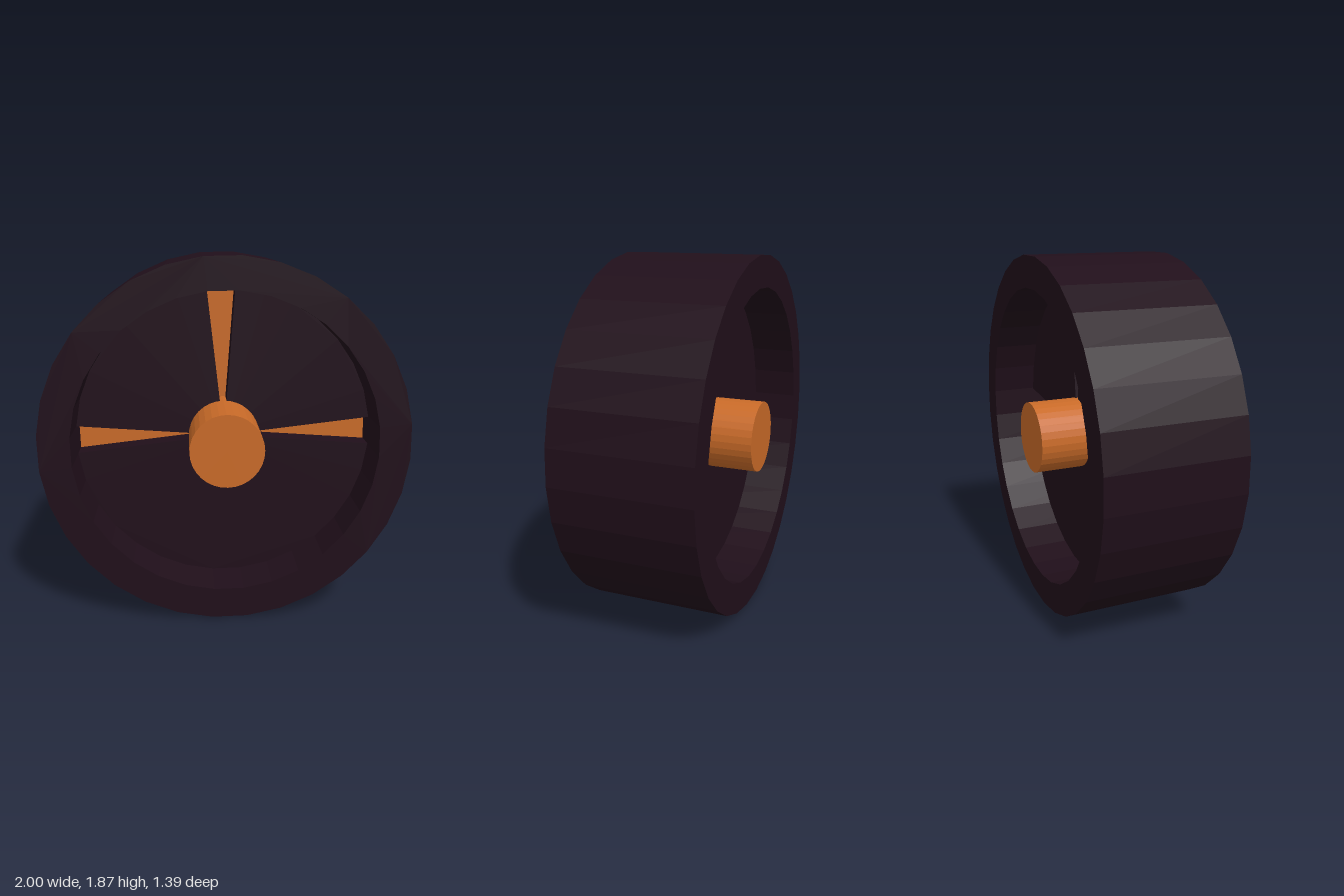
import * as THREE from 'three';

const SIDES = 32;
const RIM_R = 0.936, RIM_W = 0.715, INNER_R = 0.774;
const WEB_T = 0.23, HUB_R = 0.186;
const SLOT_HALF = THREE.MathUtils.degToRad(5.4);

// Points on an arc, one per polygon side
function arcPoints(radius, from, to, steps) {
  const points = [];
  for (let i = 0; i <= steps; i++) {
    const a = from + (to - from) * i / steps;
    points.push(new THREE.Vector2(Math.cos(a) * radius, Math.sin(a) * radius));
  }
  return points;
}

// Regular polygon with a flat side at the top
function polygon(radius) {
  const start = Math.PI / SIDES;
  return arcPoints(radius, start, start + Math.PI * 2, SIDES).slice(0, SIDES);
}

// Extrusion centred on z = mid
function slab(shape, depth, mid = 0) {
  const geometry = new THREE.ExtrudeGeometry(shape, { depth, bevelEnabled: false });
  return geometry.translate(0, 0, mid - depth / 2);
}

export function createModel() {
  const dark = new THREE.MeshStandardMaterial({ color: 0x200f1a, flatShading: true });
  const orange = new THREE.MeshStandardMaterial({ color: 0xc86a28, flatShading: true });
  const model = new THREE.Group();
  const wheel = new THREE.Group();
  wheel.name = 'wheel';
  model.add(wheel);

  const add = (name, geometry, material) => {
    const mesh = new THREE.Mesh(geometry, material);
    mesh.name = name;
    wheel.add(mesh);
  };

  // Broad tyre ring
  const ring = new THREE.Shape(polygon(RIM_R));
  ring.holes.push(new THREE.Path(polygon(INNER_R)));
  add('tyre', slab(ring, RIM_W), dark);

  // Recessed web, split by tapering slots at the right, top and left
  const slots = [0, Math.PI / 2, Math.PI, Math.PI * 2];
  for (let i = 0; i < 3; i++) {
    const from = slots[i] + SLOT_HALF, to = slots[i + 1] - SLOT_HALF;
    const steps = Math.round((to - from) / (Math.PI * 2 / SIDES));
    const sector = new THREE.Shape([new THREE.Vector2(0, 0), ...arcPoints(INNER_R, from, to, steps)]);
    add('webSector', slab(sector, WEB_T), dark);
  }

  // Coloured spokes sunk halfway down the slots
  for (const a of slots.slice(0, 3)) {
    const spoke = new THREE.Shape([
      new THREE.Vector2(0, 0), ...arcPoints(INNER_R, a - SLOT_HALF, a + SLOT_HALF, 1),
    ]);
    add('spoke', slab(spoke, 0.012), orange);
  }

  // Hub, standing a little proud of the front
  const hub = new THREE.CylinderGeometry(HUB_R, HUB_R, 0.8, SIDES);
  hub.rotateX(Math.PI / 2).translate(0, 0, 0.025);
  add('hub', hub, orange);

  // Steered to one side with a slight tilt and roll
  wheel.rotation.set(-0.012, THREE.MathUtils.degToRad(-23.2), 0.019, 'YXZ');
  wheel.position.y = 0.938;
  return model;
}
